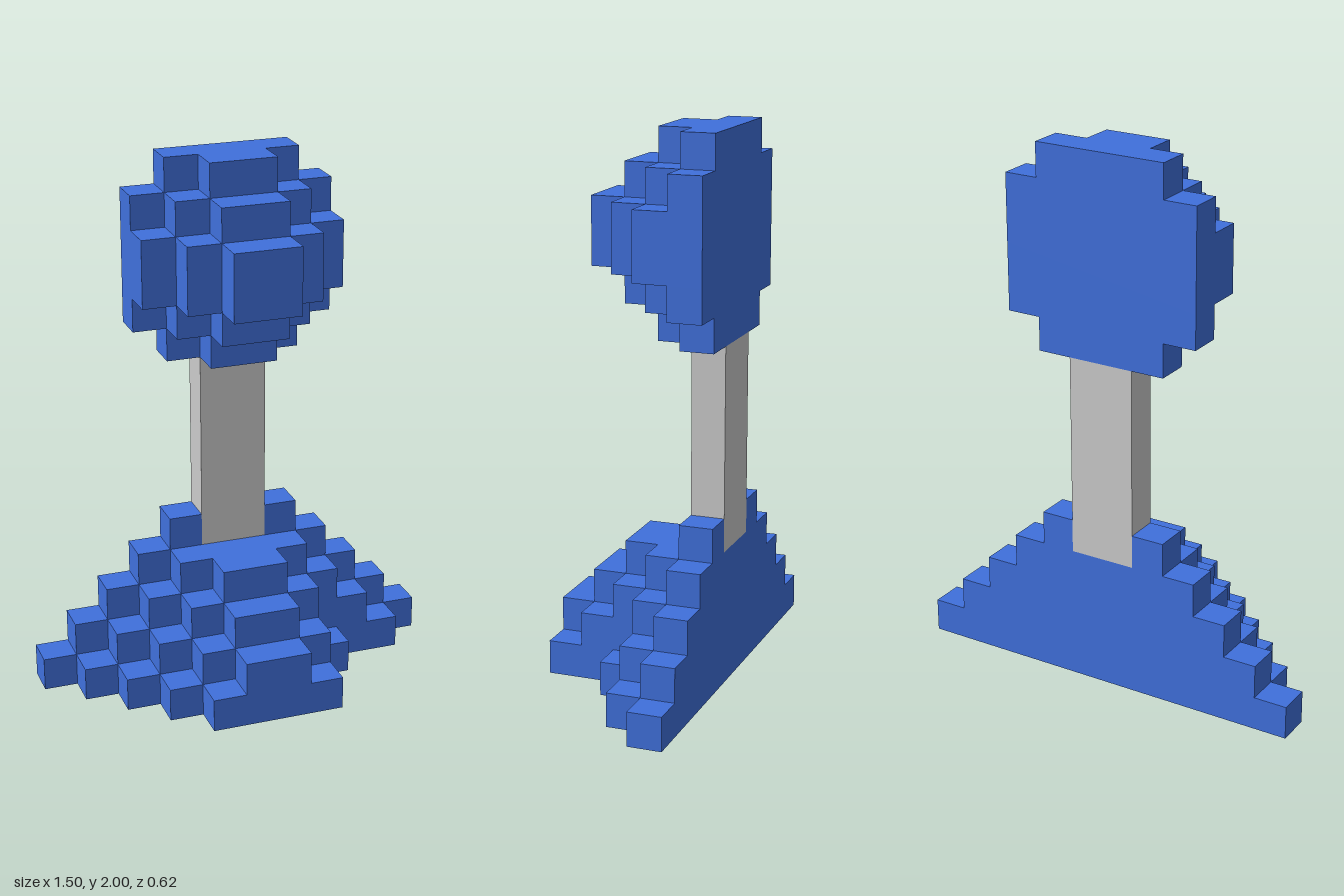
import * as THREE from 'three';

const U = 0.125; // edge of one block
const BACK = -2.5 * U; // z of the flat back

const blue = new THREE.MeshStandardMaterial({ color: 0x4070dc });
const grey = new THREE.MeshStandardMaterial({ color: 0xcccccc });

// One slab of blocks: depths (in blocks) of each column, listed from the middle outwards.
function slab(name, row, left, right = left) {
  const depths = [...left].reverse().concat(right);
  const x0 = -left.length * U;
  const shape = new THREE.Shape();
  shape.moveTo(x0, -BACK);
  depths.forEach((d, i) => {
    const front = -BACK - d * U;
    shape.lineTo(x0 + i * U, front);
    shape.lineTo(x0 + (i + 1) * U, front);
  });
  shape.lineTo(x0 + depths.length * U, -BACK);
  shape.closePath();
  const geo = new THREE.ExtrudeGeometry(shape, { depth: U, bevelEnabled: false });
  geo.rotateX(-Math.PI / 2);
  const mesh = new THREE.Mesh(geo, blue);
  mesh.position.y = row * U;
  mesh.name = name;
  return mesh;
}

function box(name, material, w, h, x, y) {
  const mesh = new THREE.Mesh(new THREE.BoxGeometry(w, h, U), material);
  mesh.position.set(x, y + h / 2, BACK + U / 2);
  mesh.name = name;
  return mesh;
}

export function createModel() {
  const model = new THREE.Group();
  model.name = 'blockPedestal';

  // Stepped base, with a few blocks missing on its left side
  const base = new THREE.Group();
  base.name = 'base';
  base.add(
    slab('baseLayer1', 0, [5, 5, 4, 3, 2, 1], [5, 5, 3, 2, 2, 1]),
    slab('baseLayer2', 1, [5, 4, 3, 2, 1], [5, 4, 2, 2, 1]),
    slab('baseLayer3', 2, [4, 3, 2, 1]),
    slab('baseLayer4', 3, [3, 2, 1])
  );
  // Blocks flanking the foot of the post
  for (const s of [-1, 1]) base.add(box(s > 0 ? 'leftCollar' : 'rightCollar', blue, U, U, s * 1.5 * U, 4 * U));
  model.add(base);

  // Post
  model.add(box('post', grey, 2 * U, 6 * U, 0, 4 * U));

  // Head: half a stepped ball, thickest in its middle
  const head = new THREE.Group();
  head.name = 'head';
  for (let i = 0; i < 6; i++) {
    const j = i < 3 ? 2 - i : i - 3; // rows away from the middle
    const depths = [4 - j, 3 - j, 2 - j].filter((d) => d > 0);
    head.add(slab('headLayer' + (i + 1), 10 + i, depths));
  }
  model.add(head);

  return model;
}
